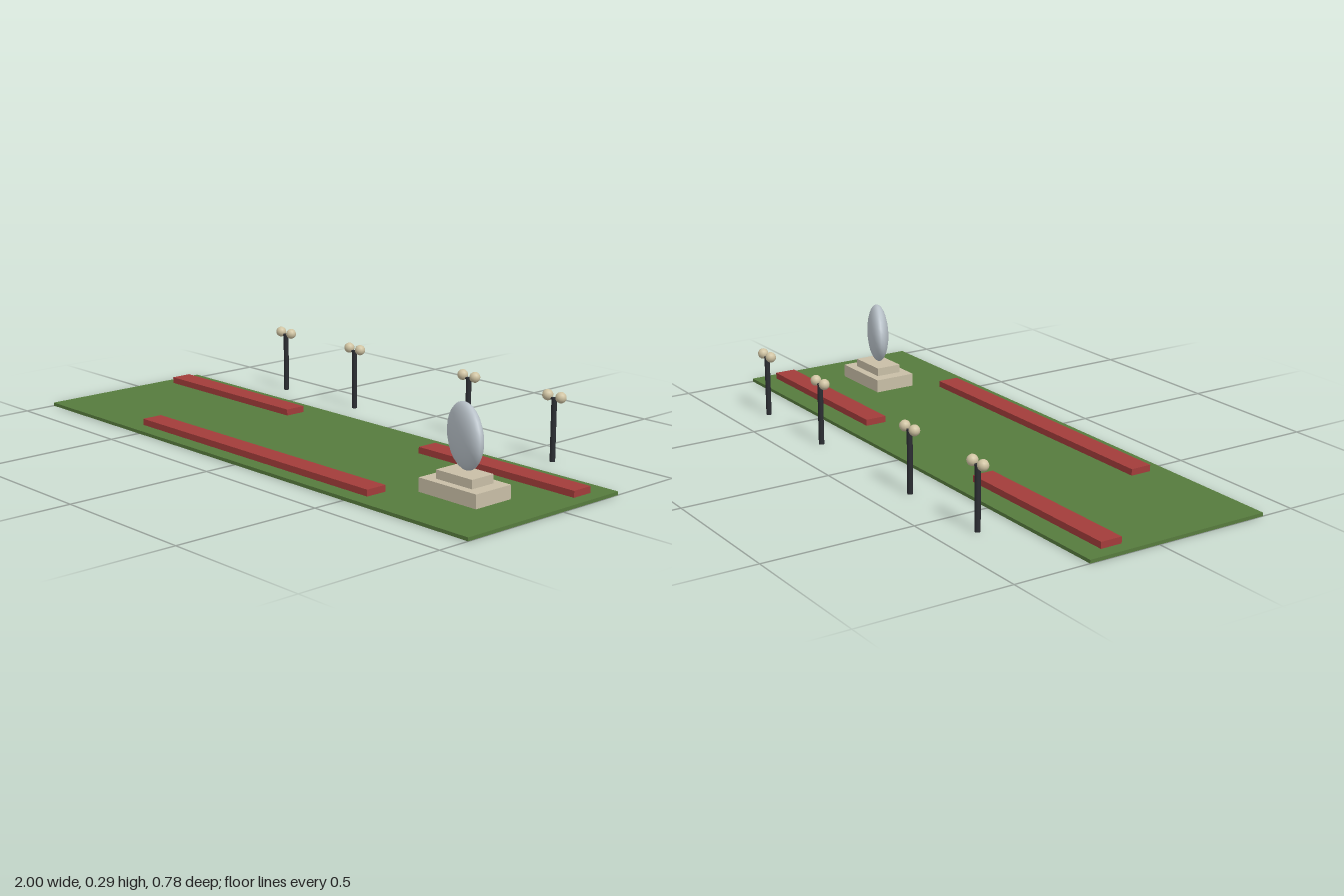
import * as THREE from 'three';

const mat = (name, color) => {
  const m = new THREE.MeshStandardMaterial({ color });
  m.name = name;
  return m;
};

export function createModel() {
  const root = new THREE.Group();
  root.name = 'gardenPlaza';

  const grass = mat('grass green', 0x567b3d);
  const red = mat('flower red', 0xa23c3a);
  const stone = mat('pale stone', 0xc8bea6);
  const silver = mat('silver', 0xbac3ca);
  const iron = mat('dark iron', 0x2b2d32);
  const glow = mat('cream globe', 0xcfc3a2);

  const add = (parent, name, geometry, material, x, y, z) => {
    const mesh = new THREE.Mesh(geometry, material);
    mesh.name = name;
    mesh.position.set(x, y, z);
    parent.add(mesh);
    return mesh;
  };
  // Box given by its extents
  const slab = (name, material, x0, x1, y0, y1, z0, z1) =>
    add(root, name, new THREE.BoxGeometry(x1 - x0, y1 - y0, z1 - z0), material,
      (x0 + x1) / 2, (y0 + y1) / 2, (z0 + z1) / 2);

  // Lawn and flower beds
  slab('lawn', grass, -1, 1, 0, 0.011, -0.245, 0.39);
  slab('frontBed', red, -0.545, 0.545, 0.011, 0.032, 0.264, 0.337);
  slab('backBedLeft', red, 0.317, 0.955, 0.011, 0.032, -0.173, -0.1);
  slab('backBedRight', red, -0.955, -0.317, 0.011, 0.032, -0.173, -0.1);

  // Stepped plinth
  slab('plinthBase', stone, 0.61, 0.841, 0.011, 0.055, 0.046, 0.192);
  slab('plinthTop', stone, 0.653, 0.798, 0.055, 0.083, 0.074, 0.164);

  // Flattened, turned sculpture
  const sculpture = add(root, 'sculpture', new THREE.SphereGeometry(1, 20, 14), silver, 0.725, 0.191, 0.119);
  sculpture.scale.set(0.117, 0.1, 0.036);
  sculpture.rotation.y = -0.44;

  // Twin-globe lamp posts behind the lawn
  const postGeo = new THREE.CylinderGeometry(0.009, 0.009, 0.205, 10);
  const armGeo = new THREE.BoxGeometry(0.054, 0.007, 0.007);
  const globeGeo = new THREE.SphereGeometry(0.0178, 14, 10);
  [-0.637, -0.274, 0.27, 0.635].forEach((x) => {
    const lamp = new THREE.Group();
    lamp.name = 'lampPost';
    lamp.position.set(x, 0, -0.372);
    add(lamp, 'post', postGeo, iron, 0, 0.1025, 0);
    add(lamp, 'arm', armGeo, iron, 0, 0.2015, 0);
    for (const s of [-1, 1]) add(lamp, 'globe', globeGeo, glow, s * 0.027, 0.21, 0);
    root.add(lamp);
  });

  return root;
}
